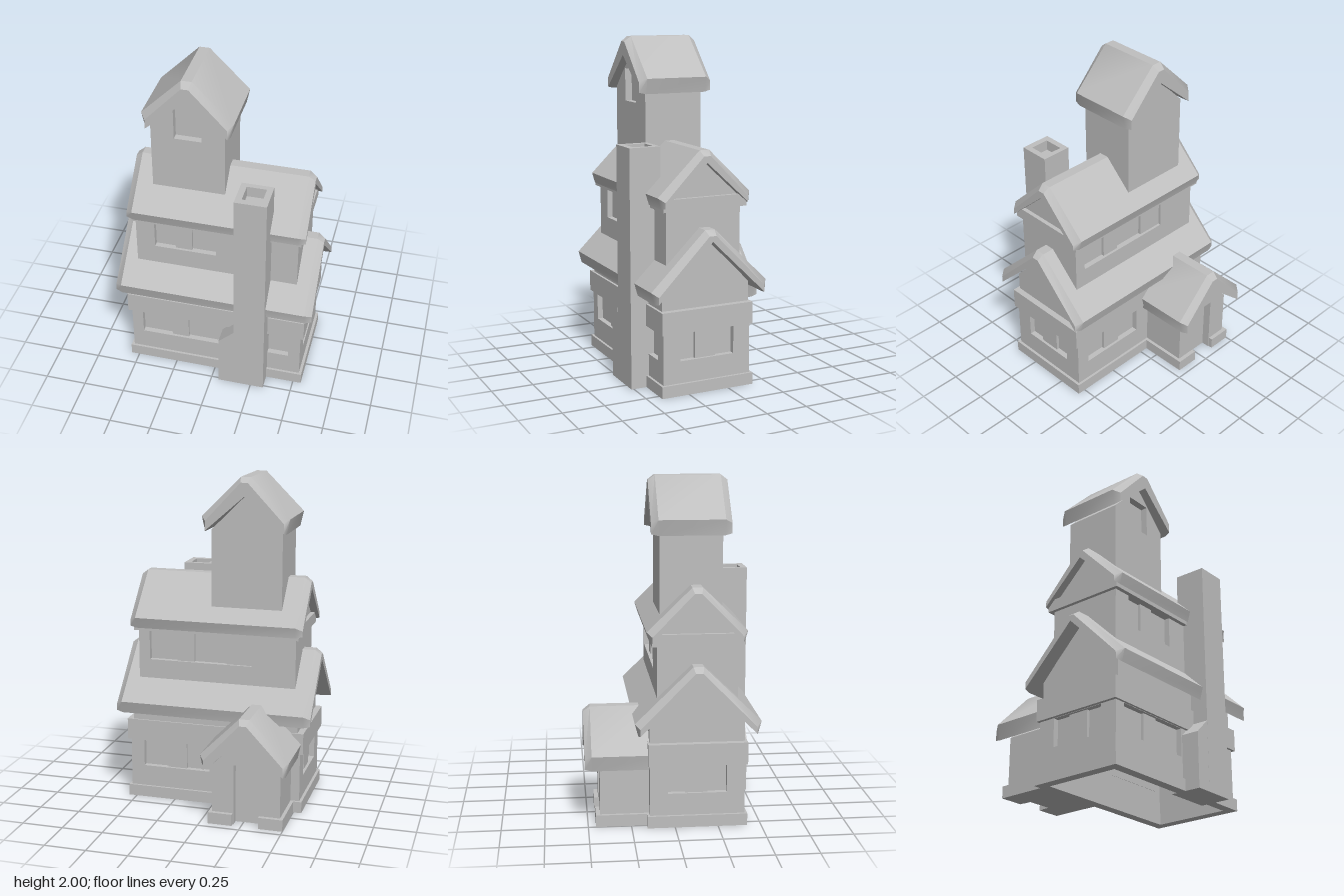
import * as THREE from 'three';
import { toCreasedNormals } from 'three/addons/utils/BufferGeometryUtils.js';

const stone = new THREE.MeshStandardMaterial({ color: 0xbfbfbf });
stone.name = 'plain grey';

const RIDGE_Z = 0.13; // centre line of the main house
const SIDE = Math.PI / 2;

function add(parent, name, geometry, x = 0, y = 0, z = 0, ry = 0) {
  const mesh = new THREE.Mesh(geometry, stone);
  mesh.name = name;
  mesh.position.set(x, y, z);
  mesh.rotation.y = ry;
  parent.add(mesh);
  return mesh;
}

// Box given by its limits
function block(parent, name, x0, x1, y0, y1, z0, z1) {
  return add(parent, name, new THREE.BoxGeometry(x1 - x0, y1 - y0, z1 - z0),
    (x0 + x1) / 2, (y0 + y1) / 2, (z0 + z1) / 2);
}

const toShape = (pts) => new THREE.Shape(pts.map(([x, y]) => new THREE.Vector2(x, y)));
const rect = (x0, x1, y0, y1) => [[x0, y0], [x1, y0], [x1, y1], [x0, y1]];
const gable = (half, y0, yWall, yTop) =>
  [[-half, y0], [half, y0], [half, yWall], [0, yTop], [-half, yWall]];

function extrude(shape, depth) {
  return new THREE.ExtrudeGeometry(shape, { depth, bevelEnabled: false });
}

// Wall plate facing local +z, with recessed windows: { x: pane edges, y0, y1 }
function wall(parent, name, outline, windows, depth, x, z, ry) {
  const g = new THREE.Group();
  g.name = name;
  const shape = toShape(outline);
  for (const w of windows) {
    const x0 = w.x[0], x1 = w.x[w.x.length - 1];
    shape.holes.push(toShape(rect(x0, x1, w.y0, w.y1)));
    for (let i = 0; i + 1 < w.x.length; i++) {
      const front = i % 2 ? -0.4 * depth : -0.85 * depth;
      block(g, 'windowPane', w.x[i], w.x[i + 1], w.y0, w.y1, -depth - 0.002, front);
    }
  }
  const plate = extrude(shape, depth);
  plate.translate(0, 0, -depth);
  add(g, 'wallPlate', plate);
  g.position.set(x, 0, z);
  g.rotation.y = ry;
  parent.add(g);
}

// Thick chevron roof with bevelled ends, ridge along local z
function roof(parent, name, length, half, yRidge, yEave, yTip, yInner, x, z, ry) {
  const ring = (c) => {
    const k = c * 0.75;
    const right = [[0.03 - 0.3 * c, yRidge - c], [half - c, yEave - k], [half - 0.02 - 0.3 * c, yTip + 0.3 * c]];
    const left = right.map(([a, b]) => [-a, b]).reverse();
    return [...left, ...right, [0, yInner]];
  };
  const h = length / 2;
  const sections = [[-h, 0.03], [-h + 0.04, 0], [h - 0.04, 0], [h, 0.03]];
  const pos = [], idx = [], n = 7;
  for (const [sz, c] of sections) for (const [px, py] of ring(c)) pos.push(px, py, sz);
  for (let s = 0; s < 3; s++) {
    for (let j = 0; j < n; j++) {
      const a = s * n + j, b = s * n + (j + 1) % n;
      idx.push(a, a + n, b + n, a, b + n, b);
    }
  }
  for (const [p, q, r] of [[0, 1, 6], [1, 2, 6], [2, 3, 6], [3, 4, 6], [4, 5, 6]]) {
    idx.push(p, q, r, 3 * n + p, 3 * n + r, 3 * n + q);
  }
  const geo = new THREE.BufferGeometry();
  geo.setAttribute('position', new THREE.Float32BufferAttribute(pos, 3));
  geo.setIndex(idx);
  add(parent, name, toCreasedNormals(geo, 0.6), x, 0, z, ry);
}

// Solid gabled body, ridge along x
function gableBody(parent, name, outline, halfLength) {
  const geo = extrude(toShape(outline), halfLength * 2);
  geo.translate(0, 0, -halfLength);
  add(parent, name, geo, 0, 0, RIDGE_Z, SIDE);
}

function createModel() {
  const model = new THREE.Group();
  model.name = 'house';
  const sidePanes = [-0.17, -0.07, 0.06, 0.17];

  // Plinth, open underneath
  const plinth = new THREE.Group();
  plinth.name = 'plinth';
  model.add(plinth);
  block(plinth, 'plinthFront', -0.55, 0.55, 0, 0.07, 0.36, 0.42);
  block(plinth, 'plinthBack', -0.55, 0.55, 0, 0.07, -0.16, -0.1);
  for (const s of [-1, 1]) {
    block(plinth, 'plinthSide', s * 0.52 - 0.03, s * 0.52 + 0.03, 0, 0.07, -0.1, 0.36);
  }

  // Ground floor, hollow
  const ground = new THREE.Group();
  ground.name = 'groundFloor';
  model.add(ground);
  const low = { y0: 0.2, y1: 0.368 };
  const longWall = rect(-0.533, 0.533, 0, 0.4);
  wall(ground, 'frontWall', longWall, [
    { x: [-0.465, -0.28, -0.175, 0.04], ...low },
    { x: [0.3, 0.46], ...low },
  ], 0.04, 0, 0.405, 0);
  wall(ground, 'backWall', longWall, [{ x: [-0.45, -0.3, -0.18, -0.03], ...low }], 0.04, 0, -0.145, Math.PI);
  for (const s of [-1, 1]) {
    wall(ground, 'sideWall', rect(-0.235, 0.235, 0, 0.4), [{ x: sidePanes, ...low }],
      0.04, s * 0.533, RIDGE_Z, s * SIDE);
    // corner fillers
    block(ground, 'cornerFront', s * 0.513 - 0.02, s * 0.513 + 0.02, 0, 0.4, 0.364, 0.404);
    block(ground, 'cornerBack', s * 0.513 - 0.02, s * 0.513 + 0.02, 0, 0.4, -0.144, -0.104);
  }
  block(model, 'floorBand', -0.553, 0.553, 0.37, 0.5, -0.155, 0.42);

  // Lower gables and roof
  gableBody(model, 'lowerAttic', gable(0.275, 0.48, 0.615, 0.9), 0.475);
  for (const s of [-1, 1]) {
    wall(model, 'lowerGable', gable(0.275, 0.48, 0.615, 0.9),
      [{ x: sidePanes, y0: 0.57, y1: 0.74 }], 0.04, s * 0.515, RIDGE_Z, s * SIDE);
  }
  roof(model, 'lowerRoof', 1.205, 0.362, 0.953, 0.63, 0.557, 0.89, 0, RIDGE_Z, SIDE);

  // Upper floor
  const upper = new THREE.Group();
  upper.name = 'upperFloor';
  model.add(upper);
  block(upper, 'upperCore', -0.488, 0.488, 0.65, 1.07, -0.06, 0.325);
  const upWall = rect(-0.488, 0.488, 0.65, 1.08);
  const up = { y0: 0.875, y1: 1.06 };
  wall(upper, 'upperFrontWall', upWall, [{ x: [-0.375, -0.25, -0.15, 0], ...up }], 0.04, 0, 0.365, 0);
  wall(upper, 'upperBackWall', upWall, [{ x: [-0.42, -0.25, -0.14, 0.06, 0.22], ...up }], 0.04, 0, -0.1, Math.PI);
  block(upper, 'upperBeam', -0.51, 0.51, 1.06, 1.13, -0.13, 0.39);
  gableBody(upper, 'upperGable', gable(0.24, 1.1, 1.11, 1.335), 0.485);
  roof(model, 'upperRoof', 1.065, 0.288, 1.393, 1.142, 1.077, 1.325, 0, RIDGE_Z, SIDE);

  // Tower
  const tower = new THREE.Group();
  tower.name = 'tower';
  model.add(tower);
  const towerOutline = gable(0.215, 1.15, 1.685, 1.9);
  add(tower, 'towerBody', extrude(toShape(towerOutline), 0.31), -0.18, 0, -0.075);
  wall(tower, 'towerFront', towerOutline, [{ x: [-0.08, 0.08], y0: 1.61, y1: 1.805 }], 0.05, -0.18, 0.285, 0);
  roof(tower, 'towerRoof', 0.46, 0.265, 2.0, 1.765, 1.675, 1.89, -0.175, 0.105, 0);

  // Back porch with doorway
  const porch = new THREE.Group();
  porch.name = 'porch';
  model.add(porch);
  add(porch, 'porchBody', extrude(toShape(gable(0.205, 0, 0.36, 0.57)), 0.27), -0.275, 0, -0.38);
  const doorway = [[-0.205, 0], [-0.075, 0], [-0.075, 0.37], [0.075, 0.37], [0.075, 0],
    [0.205, 0], [0.205, 0.36], [0, 0.57], [-0.205, 0.36]];
  wall(porch, 'porchFront', doorway, [], 0.05, -0.275, -0.43, Math.PI);
  for (const s of [-1, 1]) {
    const a = -0.275 + s * 0.08, b = -0.275 + s * 0.225;
    block(porch, 'porchPlinth', Math.min(a, b), Math.max(a, b), 0, 0.07, -0.455, -0.4);
    const c = -0.275 + s * 0.2;
    block(porch, 'porchPlinthSide', c - 0.025, c + 0.025, 0, 0.07, -0.4, -0.15);
  }
  roof(porch, 'porchRoof', 0.46, 0.265, 0.67, 0.435, 0.345, 0.56, -0.275, -0.287, 0);

  // Chimney: hollow top, solid shaft and sloped shoulder
  const chimney = new THREE.Group();
  chimney.name = 'chimney';
  model.add(chimney);
  block(chimney, 'shaft', 0.142, 0.33, 0, 1.34, 0.325, 0.515);
  const rim = toShape(rect(0.142, 0.33, -0.515, -0.325));
  rim.holes.push(toShape(rect(0.179, 0.294, -0.477, -0.356)));
  const rimGeo = extrude(rim, 0.065);
  rimGeo.rotateX(-SIDE);
  add(chimney, 'chimneyRim', rimGeo, 0, 1.34, 0);
  add(chimney, 'shoulder',
    extrude(toShape([[0.048, 0], [0.15, 0], [0.15, 0.425], [0.142, 0.42], [0.048, 0.33]]), 0.19), 0, 0, 0.3245);

  return model;
}

export { createModel };
